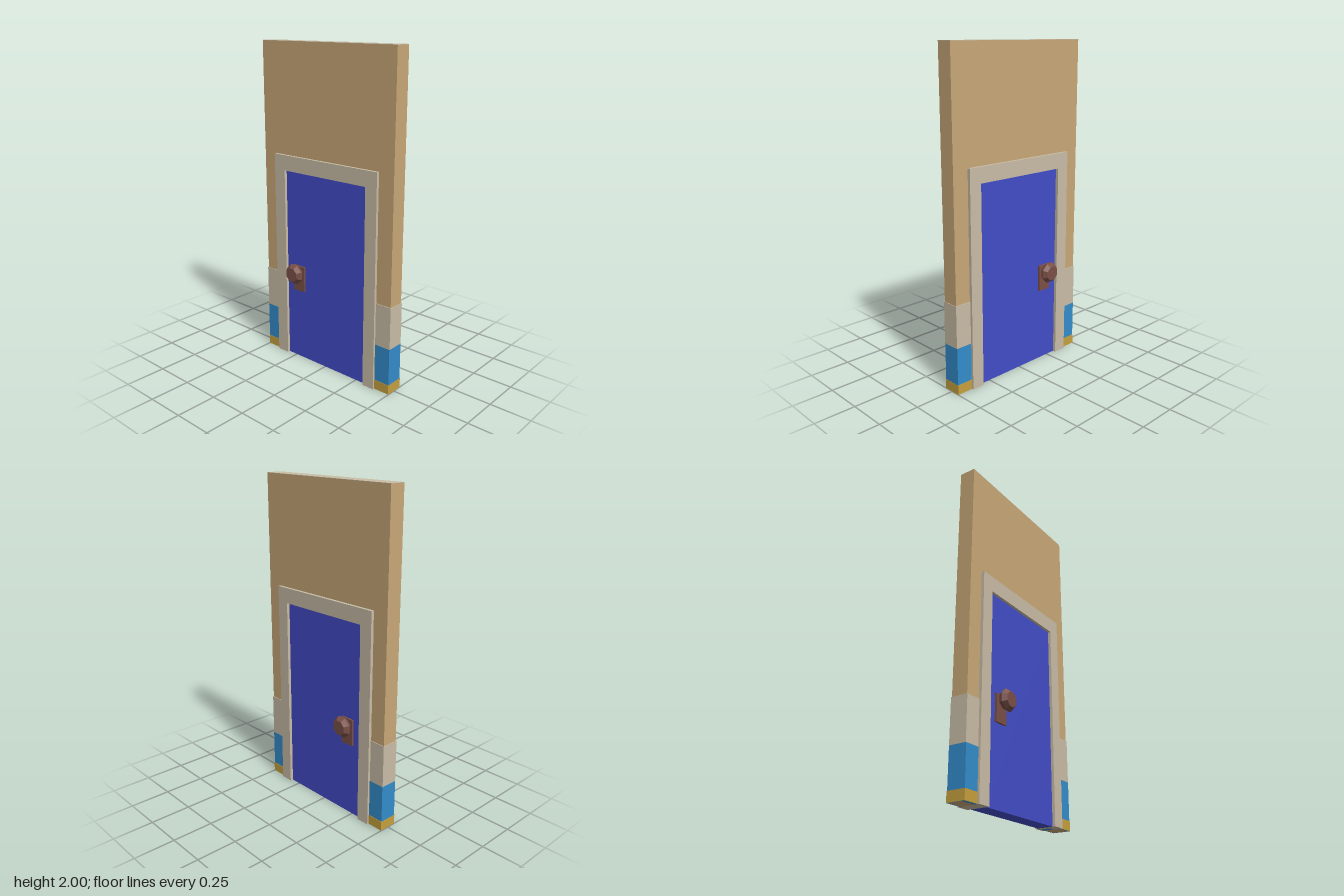
import * as THREE from 'three';

const mat = (color) => new THREE.MeshStandardMaterial({ color, flatShading: true });

export function createModel() {
  const model = new THREE.Group();
  model.name = 'doorInWall';
  const tan = mat(0xc9a878), cream = mat(0xc9bda6), blue = mat(0x338ccb);
  const gold = mat(0xc6a03e), indigo = mat(0x434dc8), brown = mat(0x7a4f47);

  const add = (parent, name, geometry, material, x = 0, y = 0, z = 0) => {
    const mesh = new THREE.Mesh(geometry, material);
    mesh.name = name;
    mesh.position.set(x, y, z);
    parent.add(mesh);
    return mesh;
  };
  // Box given by its lower and upper corners
  const box = (parent, name, material, x0, x1, y0, y1, z0, z1) =>
    add(parent, name, new THREE.BoxGeometry(x1 - x0, y1 - y0, z1 - z0), material,
      (x0 + x1) / 2, (y0 + y1) / 2, (z0 + z1) / 2);

  // Upright panel with a doorway open at the floor
  const arch = (left, right, top, inner, innerTop, z0, z1) => {
    const shape = new THREE.Shape([
      [left, 0], [-inner, 0], [-inner, innerTop], [inner, innerTop],
      [inner, 0], [right, 0], [right, top], [left, top],
    ].map(([x, y]) => new THREE.Vector2(x, y)));
    return new THREE.ExtrudeGeometry(shape, { depth: z1 - z0, bevelEnabled: false }).translate(0, 0, z0);
  };

  // Wall with a pale top edge
  add(model, 'wall', arch(-0.497, 0.497, 1.998, 0.36, 1.28, -0.051, 0.049), tan);
  box(model, 'wallTop', cream, -0.497, 0.497, 1.998, 2, -0.051, 0.049);

  // Door casing and door leaf
  add(model, 'doorFrame', arch(-0.398, 0.395, 1.325, 0.315, 1.23, -0.07, 0.067), cream);
  box(model, 'door', indigo, -0.315, 0.315, 0, 1.23, -0.051, 0.049);

  // Stacked wainscot bands on both sides of the casing
  for (const [side, x0, x1] of [['left', 0.35, 0.5], ['right', -0.5, -0.35]]) {
    box(model, side + 'UpperBand', cream, x0, x1, 0.29, 0.55, -0.055, 0.053);
    box(model, side + 'LowerBand', blue, x0 + 0.001, x1 - 0.001, 0, 0.29, -0.056, 0.054);
    box(model, side + 'Skirting', gold, x0, x1, 0.001, 0.06, -0.059, 0.056);
  }

  // Octagonal knob profile: stem, belly, flat face
  const profile = [[0, 0.05], [0.022, 0.05], [0.022, 0.074], [0.05, 0.08], [0.065, 0.099],
    [0.065, 0.108], [0.046, 0.131], [0, 0.131]].map(([r, d]) => new THREE.Vector2(r, d));
  const knobGeometry = new THREE.LatheGeometry(profile, 8, Math.PI / 8).rotateX(Math.PI / 2);

  // Knob and plate on each face, mirrored front to back
  for (const [side, s] of [['front', 1], ['back', -1]]) {
    const handle = new THREE.Group();
    handle.name = side + 'Handle';
    handle.position.set(-0.21, 0, -0.001);
    handle.rotation.y = s > 0 ? 0 : Math.PI;
    box(handle, 'plate', brown, -0.045, 0.045, 0.465, 0.63, 0.04, 0.063);
    add(handle, 'knob', knobGeometry, brown, 0, 0.59, 0);
    model.add(handle);
  }
  return model;
}
